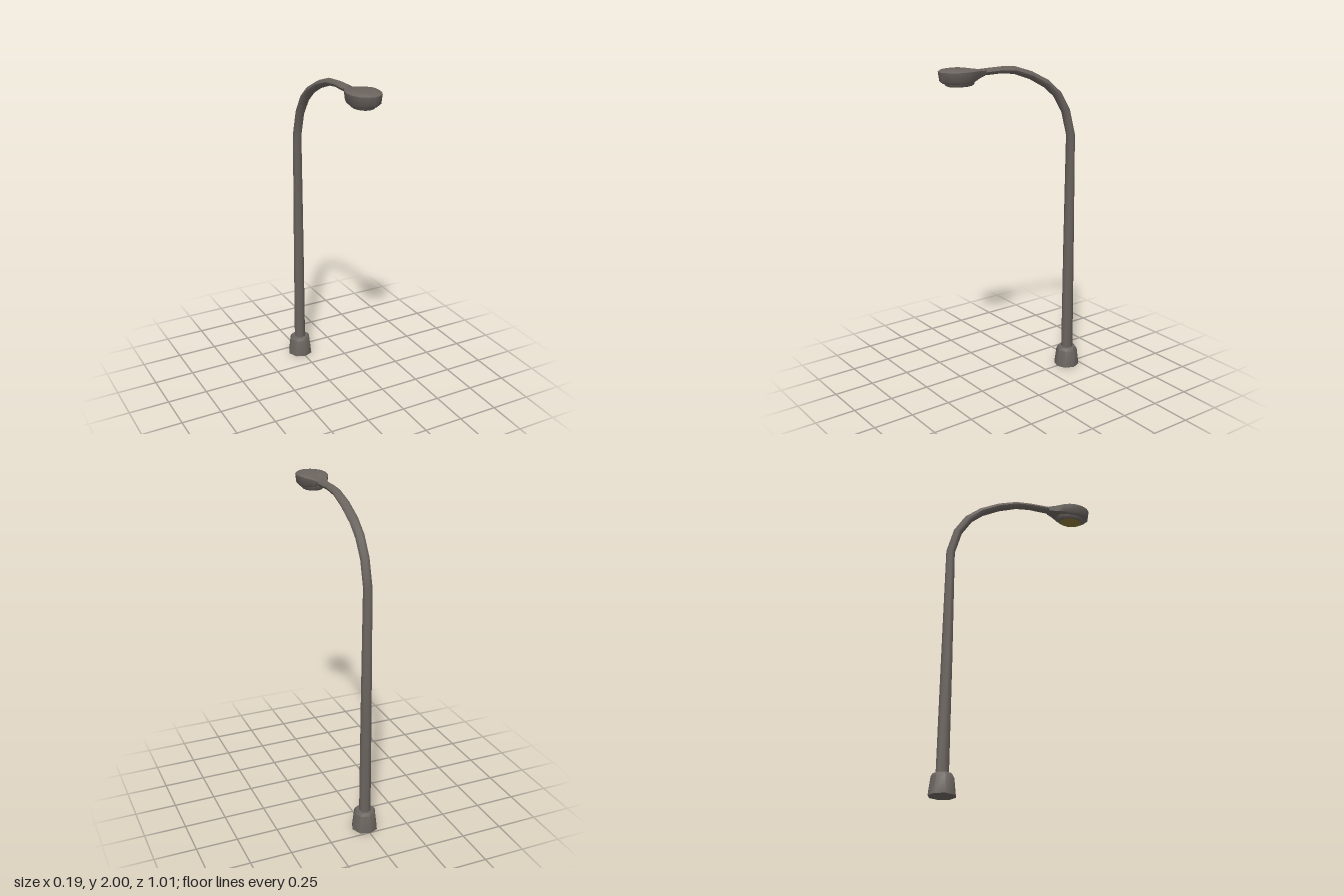
import * as THREE from 'three';
import { toCreasedNormals } from 'three/addons/utils/BufferGeometryUtils.js';

const V = (x, y, z) => new THREE.Vector3(x, y, z);

// Skin a list of closed rings (anticlockwise about the travel direction), with capped ends.
function loft(rings, crease = 0.85) {
  const n = rings[0].length, pos = [], idx = [];
  rings.forEach(r => r.forEach(p => pos.push(p.x, p.y, p.z)));
  for (let i = 0; i < rings.length - 1; i++) {
    for (let j = 0; j < n; j++) {
      const a = i * n + j, b = i * n + (j + 1) % n;
      idx.push(a, b, b + n, a, b + n, a + n);
    }
  }
  [0, rings.length - 1].forEach((r, end) => {
    const c = rings[r].reduce((s, p) => s.add(p), V(0, 0, 0)).divideScalar(n);
    const k = pos.length / 3;
    pos.push(c.x, c.y, c.z);
    for (let j = 0; j < n; j++) {
      const a = r * n + j, b = r * n + (j + 1) % n;
      if (end) idx.push(k, a, b); else idx.push(k, b, a);
    }
  });
  const g = new THREE.BufferGeometry();
  g.setAttribute('position', new THREE.Float32BufferAttribute(pos, 3));
  g.setIndex(idx);
  return toCreasedNormals(g, crease);
}

// Horizontal ellipse ring
function ring(y, z, rx, rz, n) {
  return Array.from({ length: n }, (_, j) => {
    const a = j / n * Math.PI * 2;
    return V(Math.cos(a) * rx, y, z - Math.sin(a) * rz);
  });
}

export function createModel() {
  const group = new THREE.Group();
  const metal = new THREE.MeshStandardMaterial({ color: 0x6b645f });
  metal.name = 'warm grey metal';
  const amber = new THREE.MeshStandardMaterial({ color: 0x8c7838 });
  amber.name = 'amber glass';
  const add = (name, geometry, material) => {
    const m = new THREE.Mesh(geometry, material);
    m.name = name;
    group.add(m);
    return m;
  };

  // Tapered octagonal foot with a bevelled top
  add('base', loft([[0, 0.08], [0.108, 0.067], [0.125, 0.056]]
    .map(([y, r]) => ring(y, -0.425, r, r, 8))), metal);

  // Pole and curved arm: z, y, half width, half thickness
  const path = [
    [-0.427, 0.11, 0.036, 0.038], [-0.425, 0.8, 0.033, 0.034], [-0.424, 1.535, 0.028, 0.027],
    [-0.382, 1.687, 0.028, 0.027], [-0.315, 1.793, 0.029, 0.027], [-0.233, 1.862, 0.029, 0.026],
    [-0.117, 1.922, 0.029, 0.024], [0, 1.961, 0.026, 0.022], [0.095, 1.97, 0.025, 0.02],
    [0.23, 1.968, 0.029, 0.02],
  ];
  const armRings = path.map(([z, y, w, h], i) => {
    const p = path[Math.max(i - 1, 0)], q = path[Math.min(i + 1, path.length - 1)];
    const t = V(0, q[1] - p[1], q[0] - p[0]).normalize();
    if (i < 2) t.set(0, 1, 0);
    return Array.from({ length: 8 }, (_, j) => {
      const a = j / 8 * Math.PI * 2, s = Math.sin(a) * h;
      return V(Math.cos(a) * w, y + t.z * s, z - t.y * s);
    });
  });
  add('poleAndArm', loft(armRings), metal);

  // Teardrop lamp head: outline from tip to neck as z, half width
  const half = [
    [0.492, 0.036], [0.465, 0.068], [0.425, 0.088], [0.375, 0.094], [0.34, 0.088],
    [0.3, 0.073], [0.255, 0.045], [0.212, 0.028],
  ];
  const outline = [[0.503, 0], ...half, ...half.slice().reverse().map(([z, w]) => [z, -w])];
  const headRing = (y, s) => outline.map(([z, w]) => {
    const k = THREE.MathUtils.clamp(0.5 + (z - 0.212) * 4.5, 0.5, 1);
    return V(w * s, 1.968 + (y - 1.968) * k, 0.375 + (z - 0.375) * s);
  });
  add('lampHead', loft([
    headRing(1.924, 0.82), headRing(1.936, 0.94), headRing(1.988, 1),
    headRing(1.996, 0.9), headRing(2, 0.6),
  ]), metal);

  // Oval lens housing under the head
  add('lensHousing', loft([
    ring(1.905, 0.375, 0.055, 0.074, 16), ring(1.912, 0.375, 0.063, 0.087, 16),
    ring(1.935, 0.375, 0.067, 0.094, 16),
  ]), metal);

  // Glass facing the ground
  const glass = add('lampGlass', new THREE.CircleGeometry(1, 16), amber);
  glass.rotation.x = Math.PI / 2;
  glass.scale.set(0.051, 0.07, 1);
  glass.position.set(0, 1.903, 0.375);

  return group;
}
